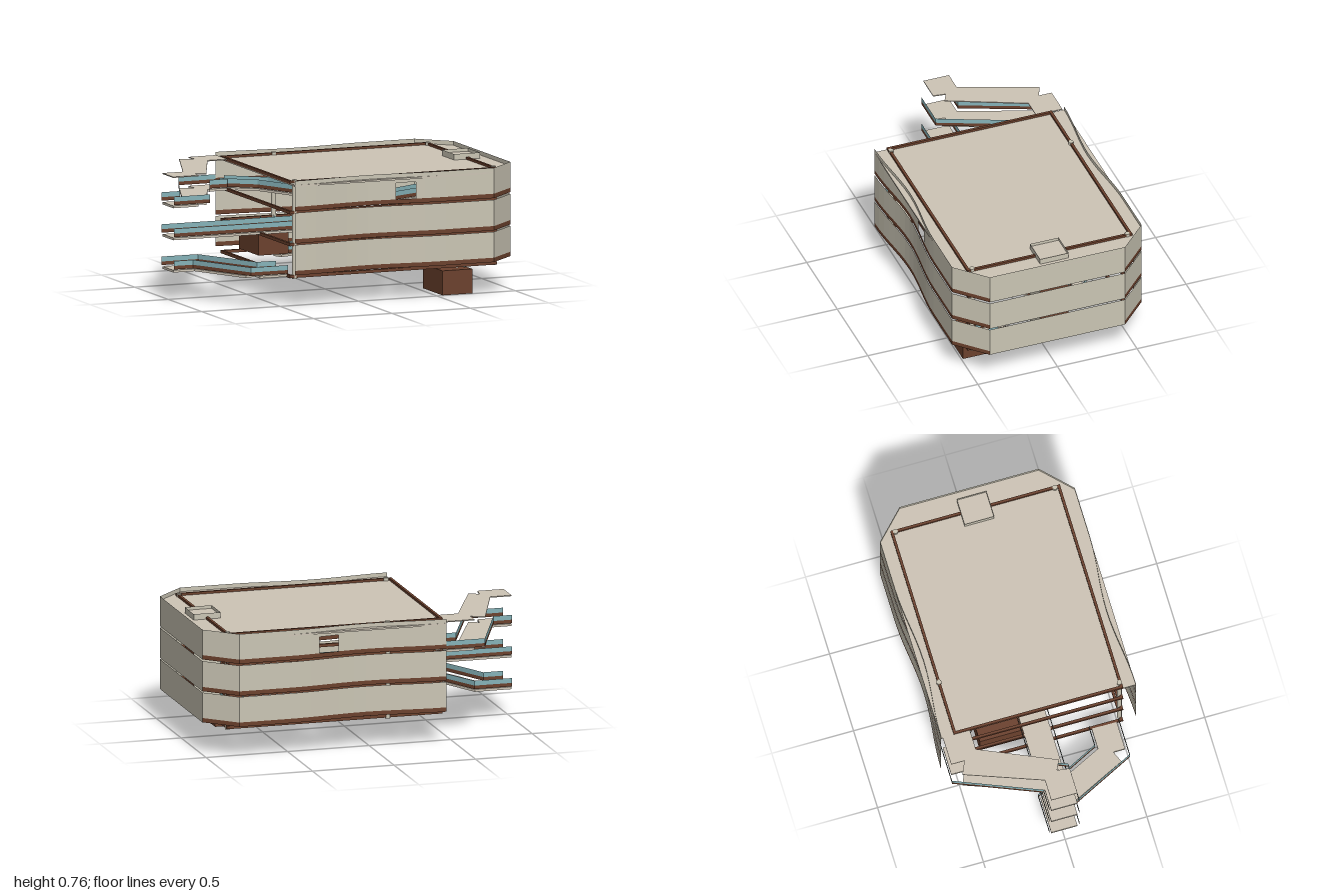
import * as THREE from 'three';

const material = (name, color) => {
  const m = new THREE.MeshStandardMaterial({ color, side: THREE.DoubleSide });
  m.name = name;
  return m;
};

export function createModel() {
  const concrete = material('concrete', 0xcbc6b5);
  const paving = material('paving', 0xcec5b6);
  const brown = material('brown', 0x6c412d);
  const glass = material('tealGlass', 0x86b3b9);
  const model = new THREE.Group();
  model.name = 'building';

  const add = (parent, name, geometry, mat, x = 0, y = 0, z = 0) => {
    const mesh = new THREE.Mesh(geometry, mat);
    mesh.name = name;
    mesh.position.set(x, y, z);
    parent.add(mesh);
    return mesh;
  };
  const group = (name, parent = model) => {
    const g = new THREE.Group();
    g.name = name;
    parent.add(g);
    return g;
  };
  const box = (parent, name, mat, w, h, d, x, y, z) =>
    add(parent, name, new THREE.BoxGeometry(w, h, d), mat, x, y, z);

  // Flat-shaded strip joining two rows of [x, y, z] points
  const strip = (a, b) => {
    const p = [];
    for (let i = 0; i < a.length - 1; i++) {
      p.push(...a[i], ...a[i + 1], ...b[i + 1], ...a[i], ...b[i + 1], ...b[i]);
    }
    const g = new THREE.BufferGeometry();
    g.setAttribute('position', new THREE.Float32BufferAttribute(p, 3));
    g.computeVertexNormals();
    return g;
  };
  // Upright band along a plan path of [x, z]
  const band = (path, y0, y1) =>
    strip(path.map(([x, z]) => [x, y0, z]), path.map(([x, z]) => [x, y1, z]));
  // Level plate with a plan outline of [x, z], its top at the given height
  const plate = (parent, name, outline, top, thickness) => {
    const shape = new THREE.Shape(outline.map(([x, z]) => new THREE.Vector2(x, z)));
    const geometry = new THREE.ExtrudeGeometry(shape, { depth: thickness, bevelEnabled: false });
    add(parent, name, geometry, paving, 0, top, 0).rotation.x = Math.PI / 2;
  };

  // Gently wavy side walls, ending in a chamfered corner
  const waveZ = (x) => x > 0.52 ? 0.595
    : 0.595 - 0.018 * (1 - Math.cos((2 * Math.PI * (x + 0.445)) / 0.965));
  const xs = [0.21, 0.33, 0.825];
  for (let i = 0; i <= 14; i++) xs.push(-0.445 + (0.965 * i) / 14);
  xs.sort((a, b) => a - b);
  const sidePath = (s) => [...xs.map((x) => [x, s * waveZ(x)]), [1, s * 0.425]];

  const floors = [[0.195, 0.375], [0.383, 0.565], [0.575, 0.755]];
  const trim = 0.026;
  floors.forEach(([y0, y1], level) => {
    const storey = group('storey' + (level + 1));
    for (const s of [1, -1]) {
      const path = sidePath(s);
      add(storey, 'wallTrim', band(path, y0, y0 + trim), brown);
      if (level < 2) {
        add(storey, 'sideWall', band(path, y0 + trim, y1), concrete);
      } else {
        // Top storey has one window opening on each side
        const opening = path.filter(([x]) => x >= 0.209 && x <= 0.331);
        add(storey, 'sideWall', band(path.filter(([x]) => x <= 0.211), y0 + trim, y1), concrete);
        add(storey, 'sideWall', band(path.filter(([x]) => x >= 0.329), y0 + trim, y1), concrete);
        add(storey, 'windowHead', band(opening, 0.7, y1), concrete);
      }
    }
    add(storey, 'endWall', band([[1, 0.425], [1, -0.425]], y0, y1), concrete);
  });

  // Roof slab
  plate(model, 'roof', [[-0.445, -0.595], [0.825, -0.595], [1, -0.425],
    [1, 0.425], [0.825, 0.595], [-0.445, 0.595]], 0.73, 0.01);

  // Rectangular beam frames and round columns
  for (const y of [0.175, 0.365, 0.555, 0.735]) {
    const frame = group('beamFrame');
    for (const s of [1, -1]) box(frame, 'longBeam', brown, 1.32, 0.018, 0.016, 0.215, y, s * 0.51);
    for (const x of [-0.438, 0.868]) box(frame, 'crossBeam', brown, 0.016, 0.018, 1.036, x, y, 0);
  }
  for (const [x, z] of [[-0.11, -0.51], [-0.41, 0.505], [0.865, -0.49], [0.865, 0.485]]) {
    add(model, 'column', new THREE.CylinderGeometry(0.015, 0.015, 0.588, 12), concrete, x, 0.454, z);
  }

  // Lift shaft rising through the roof as a low rim around a sunken cover
  const shaft = group('liftShaft');
  add(shaft, 'shaftWalls',
    band([[0.95, 0.09], [0.785, 0.09], [0.785, -0.09], [0.95, -0.09]], 0.16, 0.765), concrete);
  add(shaft, 'shaftPanel', band([[0.95, 0.09], [0.95, -0.09]], 0.157, 0.73), brown);
  add(shaft, 'shaftRim', band([[0.95, 0.09], [0.95, -0.09]], 0.73, 0.765), concrete);
  box(shaft, 'shaftCover', paving, 0.165, 0.006, 0.18, 0.8675, 0.743, 0);

  // Brown rail with glass above it along a plan path
  const railing = (parent, path, y) => {
    add(parent, 'handrailBase', band(path, y + 0.02, y + 0.041), brown);
    add(parent, 'glassRail', band(path, y + 0.041, y + 0.07), glass);
  };

  // Outdoor walkways on the open end
  const outdoor = (name, deck, y, left, right) => {
    const g = group(name);
    plate(g, 'deck', deck, y + 0.014, 0.014);
    railing(g, left, y);
    railing(g, right, y);
  };
  const backDeck = [[-1, -0.085], [-0.87, -0.085], [-0.7, -0.54], [-0.62, -0.505],
    [-0.62, -0.585], [-0.445, -0.585], [-0.445, -0.42], [-0.57, -0.42],
    [-0.77, 0.03], [-0.83, 0], [-0.84, 0.075], [-1, 0.075]];
  const frontDeck = [[-1, -0.085], [-0.775, -0.085], [-0.575, 0.325], [-0.445, 0.325],
    [-0.445, 0.478], [-0.62, 0.478], [-0.62, 0.405], [-0.69, 0.435], [-0.865, 0.075], [-1, 0.075]];
  const middleDeck = [[-1, -0.085], [0.1, -0.085], [0.1, 0.075], [-1, 0.075]];
  outdoor('lowerWalkway', frontDeck, 0.17,
    [[-1, 0.087], [-0.88, 0.087], [-0.68, 0.49], [-0.445, 0.49]],
    [[-1, -0.097], [-0.77, -0.097], [-0.565, 0.31], [-0.445, 0.31]]);
  outdoor('middleWalkway', middleDeck, 0.362,
    [[-1, 0.087], [0.1, 0.087]], [[-1, -0.097], [0.1, -0.097]]);
  outdoor('upperWalkway', backDeck, 0.552,
    [[-1, -0.097], [-0.885, -0.097], [-0.68, -0.597], [-0.445, -0.597]],
    [[-1, 0.087], [-0.77, 0.087], [-0.56, -0.412], [-0.445, -0.412]]);
  plate(group('walkwayCanopy'), 'canopy', backDeck, 0.738, 0.006);

  // Indoor walkways follow a centre line with mitred sides
  const indoor = (name, pts, width, y) => {
    const side = (w) => pts.map(([x, z], i) => {
      const p = pts[Math.max(i - 1, 0)], n = pts[Math.min(i + 1, pts.length - 1)];
      const d = new THREE.Vector2(n[0] - p[0], n[1] - p[1]).normalize();
      return [x - d.y * w, z + d.x * w];
    });
    const g = group(name);
    plate(g, 'deck', [...side(width / 2 - 0.012), ...side(0.012 - width / 2).reverse()],
      y + 0.014, 0.014);
    railing(g, side(width / 2), y);
    railing(g, side(-width / 2), y);
  };
  indoor('lowerIndoorWalkway',
    [[0.685, 0.2], [0.66, -0.16], [0.54, -0.31], [0.12, -0.36], [-0.2, -0.24]], 0.09, 0.17);
  indoor('middleIndoorWalkway',
    [[0.1, 0], [0.3, 0.18], [0.6, 0.18], [0.78, 0]], 0.11, 0.362);
  indoor('upperIndoorWalkway',
    [[-0.445, -0.5], [-0.25, -0.35], [-0.06, 0.05], [0.27, 0.36], [0.6, 0.2], [0.78, 0]], 0.11, 0.552);

  // Stair blocks: open-bottomed brown housing with a narrow ramp leaving over the top
  const stairBlock = (name, x, y, z) => {
    const g = group(name);
    add(g, 'housing',
      band([[0.54, 0.2], [0.73, 0.2], [0.73, 0.49], [0.54, 0.49], [0.54, 0.2]], 0, 0.1), brown);
    box(g, 'housingTop', brown, 0.1, 0.045, 0.29, 0.59, 0.1225, 0.345);
    box(g, 'landing', brown, 0.09, 0.045, 0.09, 0.685, 0.1225, 0.445);
    add(g, 'ramp', strip([[0.645, 0.102, 0.4], [0.645, 0.175, 0.2]],
      [[0.725, 0.102, 0.4], [0.725, 0.175, 0.2]]), paving);
    for (const px of [0.642, 0.73]) {
      add(g, 'rampSide', strip([[px, 0.1, 0.4], [px, 0.1, 0.27], [px, 0.1, 0.2]],
        [[px, 0.11, 0.4], [px, 0.168, 0.27], [px, 0.168, 0.2]]), brown);
      add(g, 'rampGlass', strip([[px, 0.11, 0.4], [px, 0.168, 0.27]],
        [[px, 0.143, 0.4], [px, 0.2, 0.27]]), glass);
    }
    g.position.set(x, y, z);
  };
  stairBlock('entranceStair', 0, 0, 0);
  stairBlock('upperStair', -0.94, 0.215, -0.545);

  return model;
}
